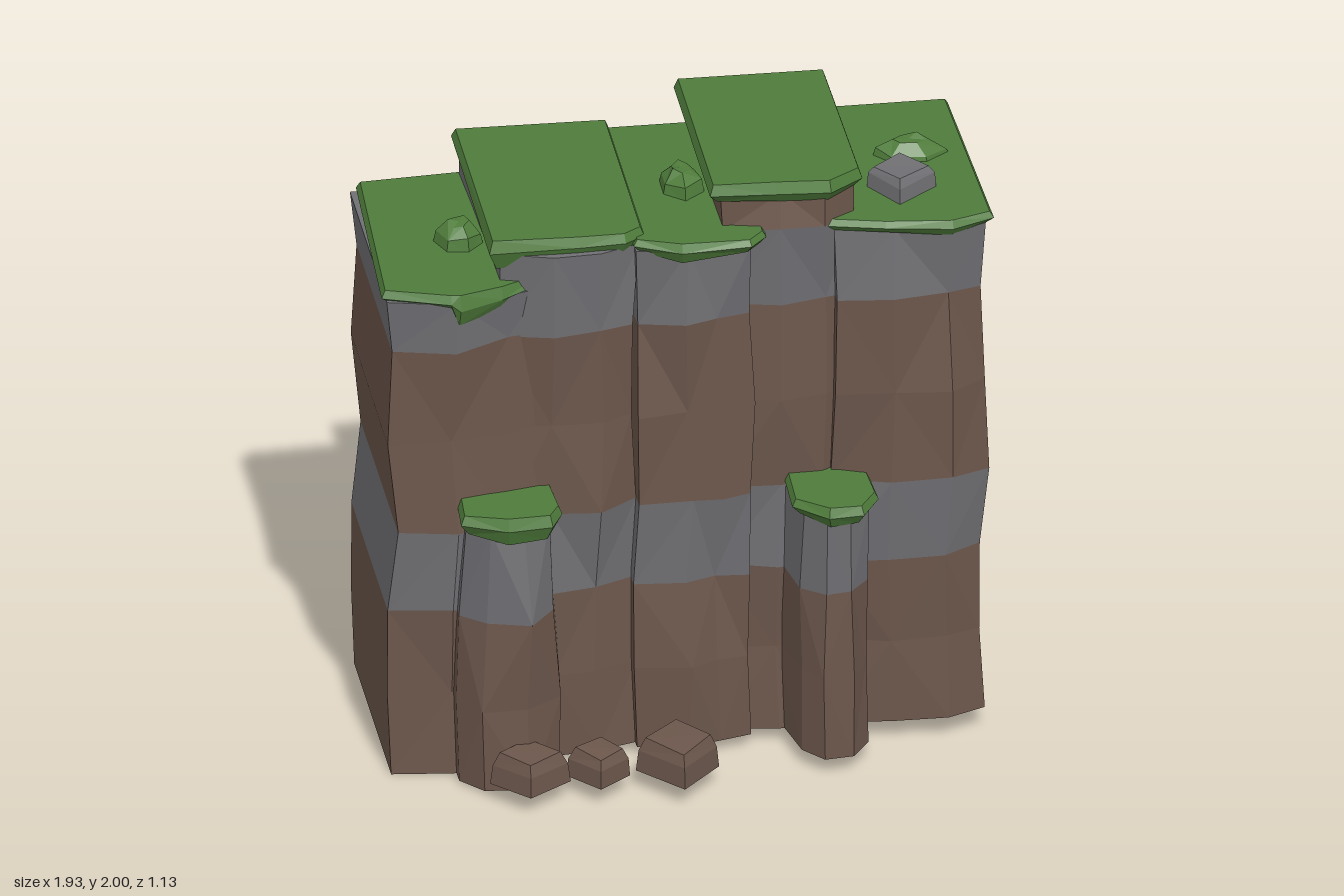
import * as THREE from 'three';

const mat = (name, color, side = THREE.FrontSide) =>
  Object.assign(new THREE.MeshStandardMaterial({ color, side, flatShading: true }), { name });

// Small seeded generator, returns -1..1
function seeded(seed) {
  let s = seed * 7919 + 17;
  return () => {
    s = (s * 16807) % 2147483647;
    return (s / 2147483647) * 2 - 1;
  };
}

// Faceted solid through a stack of equal-length rings (counter-clockwise from above)
function loft(rings, capBottom = true, capTop = true) {
  const out = [];
  const tri = (a, b, c) => out.push(...a, ...b, ...c);
  const n = rings[0].length;
  for (let k = 0; k + 1 < rings.length; k++) {
    for (let i = 0; i < n; i++) {
      const j = (i + 1) % n, lo = rings[k], hi = rings[k + 1];
      if ((i + k) % 2) {
        tri(lo[i], lo[j], hi[j]);
        tri(lo[i], hi[j], hi[i]);
      } else {
        tri(lo[i], lo[j], hi[i]);
        tri(lo[j], hi[j], hi[i]);
      }
    }
  }
  const mid = r => [0, 1, 2].map(a => r.reduce((s, p) => s + p[a], 0) / n);
  const first = rings[0], last = rings[rings.length - 1];
  for (let i = 0; i < n; i++) {
    const j = (i + 1) % n;
    if (capTop) tri(last[i], last[j], mid(last));
    if (capBottom) tri(first[j], first[i], mid(first));
  }
  const g = new THREE.BufferGeometry();
  g.setAttribute('position', new THREE.Float32BufferAttribute(out, 3));
  g.computeVertexNormals();
  return g;
}

// Plan ring moved inward by d along its corner directions
function inset(plan, d) {
  const n = plan.length;
  return plan.map(([x, z], i) => {
    const a = plan[(i + n - 1) % n], b = plan[(i + 1) % n];
    const n1 = new THREE.Vector2(a[1] - z, x - a[0]).normalize();
    const n2 = new THREE.Vector2(z - b[1], b[0] - x).normalize();
    const m = n1.clone().add(n2).normalize();
    const k = d / Math.max(0.5, m.dot(n1));
    return [x - m.x * k, z - m.y * k];
  });
}

export function createModel() {
  const soil = mat('brown rock', 0x6b564b, THREE.DoubleSide);
  const stone = mat('grey rock', 0x717175);
  const grass = mat('grass', 0x4f7c3b);
  const model = new THREE.Group();
  model.name = 'cliff';

  const add = (parent, name, geometry, material) => {
    const m = new THREE.Mesh(geometry, material);
    m.name = name;
    parent.add(m);
  };

  // Strata heights, and how far each face of the cliff wanders at each height
  const strata = [0, 0.28, 0.572, 0.862, 1.17, 1.495, 1.775];
  const leftBulge = [0, 0.01, 0.008, -0.02, 0.01, -0.005, 0.015];
  const rightBulge = [0, -0.015, -0.012, 0.012, 0, -0.012, 0];
  const backBulge = [0, 0.012, 0.008, 0, 0.005, -0.012, 0, -0.01];
  const frontBulge = [0, -0.01, -0.02, 0.014, 0, -0.008, 0.015, 0];
  const slope = x => 0.04 + 0.0425 * x;

  // Rock column, open below, with alternating soil and stone bands
  function column(name, plan, top, seed, rough = 0.024, taper = 1) {
    const r = seeded(seed);
    const group = new THREE.Group();
    group.name = name;
    const levels = [...strata.filter(y => y < top - 0.12), top];
    const cx = plan.reduce((s, p) => s + p[0], 0) / plan.length;
    const rings = levels.map((y, k) => plan.map(([x, z]) => {
      const isTop = k === levels.length - 1;
      const free = k === 0 ? 0.2 : 1;
      const end = Math.abs(x) > 0.9, back = z < -0.4;
      const t = isTop ? taper : 1;
      const px = end
        ? x + (x < 0 ? -leftBulge[k] : rightBulge[k])
        : cx + (x - cx) * t + r() * rough * 0.6 * free;
      const pz = back
        ? z - backBulge[k] + r() * 0.012 * free
        : 0.1 + (z - 0.1) * t + frontBulge[k] + r() * (end ? 0.008 : rough) * free;
      return [px, isTop ? y : y + slope(x) + r() * 0.006 * (k ? 1 : 0), pz];
    }));
    const bands = [[0, 2, soil, 'lowerSoil'], [2, 3, stone, 'lowerStone'], [3, 5, soil, 'upperSoil'],
      [5, 6, stone, 'upperStone'], [6, 7, soil, 'summitSoil']];
    for (const [a, b, m, label] of bands) {
      if (a < rings.length - 1) add(group, label, loft(rings.slice(a, b + 1), false, b >= rings.length - 1), m);
    }
    model.add(group);
  }

  column('farLeftColumn', [[-0.94, -0.54], [-0.94, 0.2], [-0.745, 0.24], [-0.58, 0.215], [-0.45, 0.17], [-0.45, -0.545]], 1.68, 3);
  column('leftColumn', [[-0.61, -0.545], [-0.6, 0.18], [-0.42, 0.205], [-0.28, 0.2], [-0.16, 0.17], [-0.15, -0.54]], 1.81, 5);
  column('middleColumn', [[-0.18, -0.535], [-0.16, 0.2], [0, 0.235], [0.1, 0.225], [0.2, 0.2], [0.21, -0.54]], 1.8, 8);
  column('summitColumn', [[0.11, -0.53], [0.11, 0.14], [0.29, 0.185], [0.44, 0.18], [0.53, 0.12], [0.53, -0.53]], 1.95, 11, 0.02, 1.03);
  column('rightColumn', [[0.45, -0.54], [0.46, 0.18], [0.64, 0.22], [0.82, 0.235], [0.94, 0.195], [0.94, -0.54]], 1.81, 14);
  column('leftLedgePillar', [[-0.74, 0.1], [-0.74, 0.29], [-0.67, 0.38], [-0.53, 0.4], [-0.43, 0.32], [-0.41, 0.1]], 0.92, 21, 0.018, 0.84);
  column('rightLedgePillar', [[0.29, 0.1], [0.34, 0.34], [0.4, 0.42], [0.49, 0.42], [0.55, 0.34], [0.57, 0.1]], 0.91, 25, 0.014, 0.96);

  // Grass slab: tucked underside, overhanging rim, bevelled top; third value droops a corner
  function turf(name, plan, bottom, rim, top) {
    const under = inset(plan, 0.025), crown = inset(plan, 0.012);
    add(model, name, loft([
      under.map(([x, z], i) => [x, bottom - (plan[i][2] || 0), z]),
      plan.map(([x, z, droop = 0]) => [x, rim - droop * 0.4, z]),
      crown.map(([x, z]) => [x, top, z]),
    ]), grass);
  }
  turf('farLeftTurf', [[-0.935, -0.54], [-0.97, 0.2], [-0.76, 0.27, 0.01], [-0.73, 0.275, 0.07], [-0.59, 0.235, 0.04], [-0.45, 0.17], [-0.45, -0.565]], 1.67, 1.69, 1.715);
  turf('leftTurf', [[-0.63, -0.565], [-0.63, 0.21, 0.03], [-0.35, 0.225, 0.01], [-0.2, 0.225], [-0.135, 0.18], [-0.135, -0.55]], 1.79, 1.835, 1.865);
  turf('middleTurf', [[-0.165, -0.545], [-0.175, 0.22], [-0.03, 0.275, 0.025], [0.19, 0.28], [0.245, 0.22], [0.24, -0.54]], 1.79, 1.82, 1.84);
  turf('rightTurf', [[0.45, -0.555], [0.44, 0.2], [0.62, 0.245], [0.83, 0.27, 0.015], [0.965, 0.225], [0.94, -0.55]], 1.805, 1.83, 1.85);
  turf('summitTurf', [[0.07, -0.535], [0.07, 0.2], [0.28, 0.21, 0.01], [0.45, 0.225, 0.01], [0.56, 0.15], [0.55, -0.525]], 1.935, 1.965, 2.0);
  turf('leftLedgeTurf', [[-0.73, 0.15], [-0.745, 0.37], [-0.6, 0.415, 0.03], [-0.46, 0.41, 0.02], [-0.42, 0.34], [-0.43, 0.15]], 0.915, 0.955, 0.985);
  turf('rightLedgeTurf', [[0.31, 0.15], [0.305, 0.36], [0.41, 0.445, 0.02], [0.52, 0.445, 0.01], [0.58, 0.35], [0.57, 0.15]], 0.9, 0.93, 0.955);

  // Lumps: profile of [height, scale]; turned by angle, uneven outline
  function lump(name, x, z, rx, rz, sides, angle, profile, material, seed) {
    const r = seeded(seed);
    const wobble = Array.from({ length: sides }, () => 1 + r() * 0.1);
    add(model, name, loft(profile.map(([y, s]) => wobble.map((w, i) => {
      const a = angle - (i / sides) * Math.PI * 2;
      return [x + Math.cos(a) * rx * s * w, y + (s < 0.9 ? r() * 0.01 : 0), z + Math.sin(a) * rz * s * w];
    }))), material);
  }

  // Fallen rocks at the foot
  lump('fallenRockLeft', -0.54, 0.44, 0.12, 0.11, 4, 0.1, [[0.065, 1], [0.13, 0.93], [0.17, 0.75]], soil, 31);
  lump('fallenRockMiddle', -0.31, 0.42, 0.1, 0.095, 4, 0.15, [[0.06, 1], [0.12, 0.95], [0.155, 0.74]], soil, 33);
  lump('fallenRockRight', -0.06, 0.42, 0.13, 0.14, 4, 0.05, [[0.065, 1], [0.135, 0.94], [0.18, 0.78]], soil, 36);

  // Boulder and bushes on top
  lump('boulder', 0.7, 0.01, 0.115, 0.115, 4, 0.15, [[1.83, 1], [1.9, 0.95], [1.925, 0.78]], stone, 41);
  const bush = y => [[y, 1], [y + 0.045, 0.88], [y + 0.08, 0.42]];
  lump('bushLeft', -0.68, -0.09, 0.075, 0.085, 6, 0.2, bush(1.705), grass, 43);
  lump('bushMiddle', 0.025, -0.12, 0.075, 0.1, 6, 0.5, bush(1.83), grass, 46);
  lump('bushRight', 0.76, -0.2, 0.125, 0.07, 6, 0.1, bush(1.825), grass, 48);

  return model;
}
